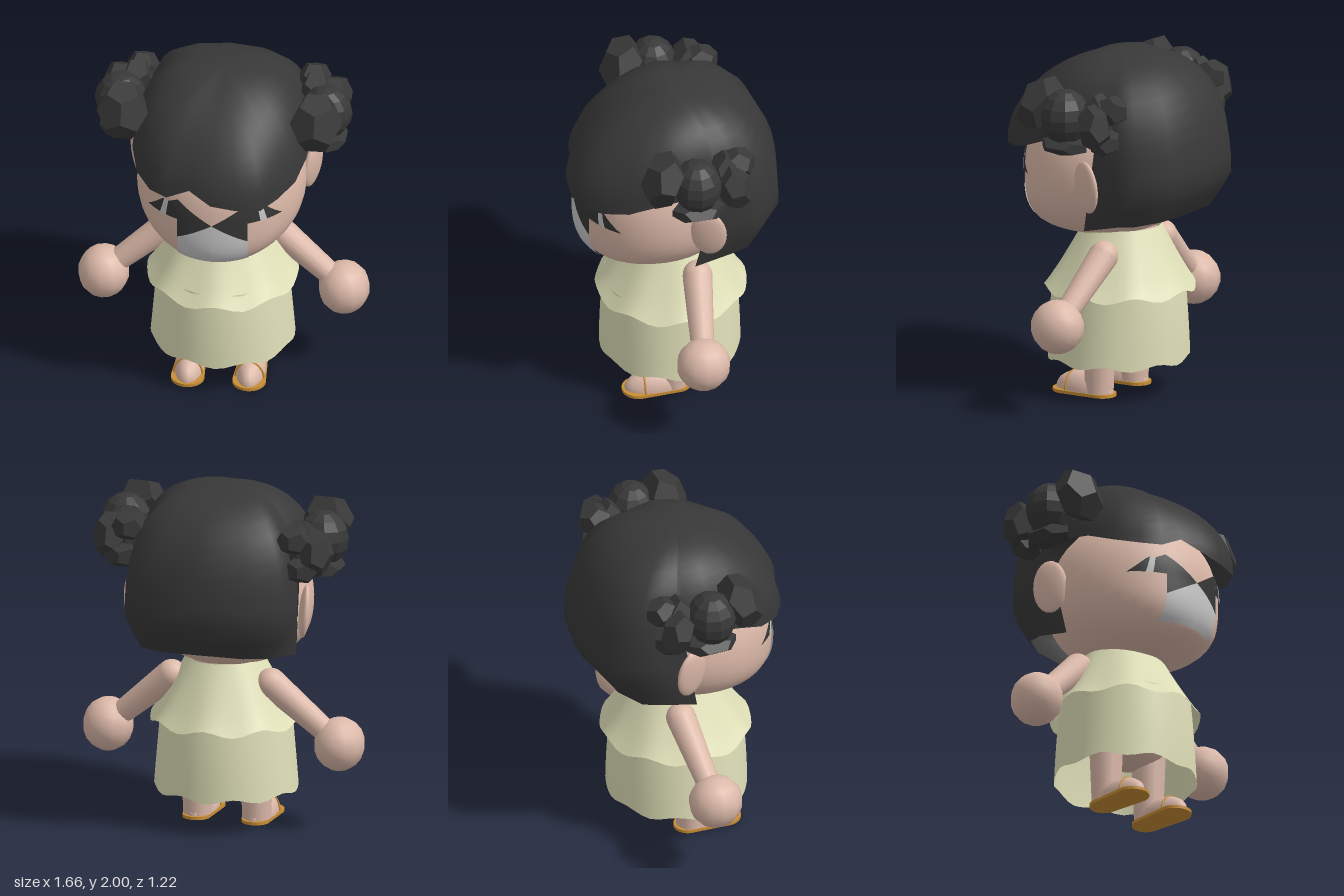
import * as THREE from 'three';

const mat = (name, color, extra = {}) => {
  const m = new THREE.MeshStandardMaterial({ color, ...extra });
  m.name = name;
  return m;
};

// Surface closed around the y axis; rows run from bottom (v = 0) to top (v = 1).
function ringSurface(cols, rows, point) {
  const pos = [], index = [];
  for (let j = 0; j <= rows; j++)
    for (let i = 0; i < cols; i++) pos.push(...point(i, j / rows));
  for (let j = 0; j < rows; j++)
    for (let i = 0; i < cols; i++) {
      const a = j * cols + i, b = j * cols + (i + 1) % cols;
      index.push(a, b, b + cols, a, b + cols, a + cols);
    }
  const g = new THREE.BufferGeometry();
  g.setAttribute('position', new THREE.Float32BufferAttribute(pos, 3));
  g.setIndex(index);
  g.computeVertexNormals();
  return g;
}

// Head: rounded ellipsoid, jaw narrower across than deep, chin pushed forward.
const HEAD = { y: 1.3, z: 0.06, rx: 0.48, rz: 0.49 };
function headSection(y) {
  const low = y < HEAD.y;
  const t = Math.min(1, Math.abs(y - HEAD.y) / (low ? 0.38 : 0.5));
  const round = p => Math.pow(1 - Math.pow(t, p), 1 / p);
  return {
    rx: HEAD.rx * round(low ? 2.35 : 2),
    rz: HEAD.rz * round(low ? 2.8 : 2),
    z: HEAD.z + (low ? 0.1 * t * t : 0),
  };
}
function headZ(x, y) {
  const s = headSection(y), q = x / s.rx;
  return s.z + s.rz * Math.sqrt(Math.max(0, 1 - q * q));
}

// Thin four-cornered patch laid on the face.
function facePatch(c, s) {
  const n = 8, g = new THREE.PlaneGeometry(1, 1, n, n), p = g.attributes.position;
  for (let i = 0; i < p.count; i++) {
    const u = p.getX(i) + 0.5, v = p.getY(i) + 0.5;
    const mix = k => (c[0][k] * (1 - u) + c[1][k] * u) * (1 - v) + (c[3][k] * (1 - u) + c[2][k] * u) * v;
    const x = s * mix(0), y = mix(1);
    p.setXYZ(i, x, y, headZ(x, y) + 0.01);
  }
  g.computeVertexNormals();
  return g;
}

export function createModel() {
  const double = { side: THREE.DoubleSide };
  const skin = mat('skin', 0xdcb9a9);
  const cloth = mat('dress cloth', 0xdfdfb8, double);
  const hairMat = mat('hair', 0x383838, double);
  const bunMat = mat('bun hair', 0x383838, { flatShading: true });
  const eyeMat = mat('eye dark', 0x363636, double);
  const white = mat('pale grey', 0xc8c8c8, double);
  const leather = mat('sandal leather', 0xc98e34);

  const model = new THREE.Group();
  const add = (name, geo, material, x = 0, y = 0, z = 0) => {
    const m = new THREE.Mesh(geo, material);
    m.name = name;
    m.position.set(x, y, z);
    model.add(m);
    return m;
  };
  const ball = (name, material, c, r, w = 16, h = 12) => {
    const m = add(name, new THREE.SphereGeometry(1, w, h), material, ...c);
    m.scale.set(...r);
    return m;
  };

  // Head and neck
  add('head', ringSurface(36, 24, (i, v) => {
    const a = i / 36 * Math.PI * 2, k = Math.sin((v - 0.5) * Math.PI);
    const y = HEAD.y + k * (k < 0 ? 0.38 : 0.5), s = headSection(y);
    return [Math.sin(a) * s.rx, y, s.z + Math.cos(a) * s.rz];
  }), skin);
  add('neck', new THREE.CylinderGeometry(0.16, 0.2, 0.2, 16), skin, 0, 0.93, -0.02);

  // Hair cap: angle from the front, height of the lower edge, radius
  const locks = [
    [0, 1.45, 0.61], [13, 1.43, 0.625], [26, 1.42, 0.64], [38, 1.43, 0.59], [53, 1.47, 0.565], [70, 1.53, 0.53],
    [90, 1.56, 0.505], [108, 1.53, 0.515], [112, 1.02, 0.525], [122, 1.07, 0.57], [133, 1.08, 0.635], [152, 1.09, 0.635],
    [180, 1.1, 0.615], [208, 1.09, 0.635], [227, 1.08, 0.635], [238, 1.07, 0.57], [248, 1.02, 0.525], [252, 1.53, 0.515],
    [270, 1.56, 0.505], [290, 1.53, 0.53], [307, 1.47, 0.565], [322, 1.44, 0.59], [334, 1.44, 0.595], [347, 1.51, 0.575],
  ];
  add('hairCap', ringSurface(locks.length, 14, (i, v) => {
    const [deg, edge, radius] = locks[i];
    const a = deg * Math.PI / 180, front = Math.max(0, Math.cos(a)), back = Math.max(0, -Math.cos(a));
    const y = edge + (2 - edge) * Math.sin(v * Math.PI / 2);
    const y0 = 1.42 + 0.05 * front - 0.17 * back, p = 2.8 - 1.15 * front - 0.3 * back;
    const u = Math.min(1, Math.max(0, (y - y0) / (2 - y0)));
    let r = radius * Math.pow(Math.max(0, 1 - Math.pow(u, p)), 1 / p);
    // the back tucks in towards the nape
    if (y < 1.27) r *= 1 - 0.21 * back * (1.27 - y) / 0.17;
    // side locks sweep forward at the tip
    const sweep = (deg === 112 || deg === 248) ? Math.max(0, 1.2 - y) * 0.7 : 0;
    return [Math.sin(a) * r, y, Math.cos(a) * r + sweep];
  }), hairMat);

  // Dress: flared cape over an open skirt, both with wavy hems
  const N = 48;
  add('dressCape', ringSurface(N, 8, (i, v) => {
    const a = i / N * Math.PI * 2, hem = 0.615 + 0.018 * Math.cos(a * 8);
    const y = hem + (0.98 - hem) * v, r = 0.43 - 0.21 * Math.pow(v, 0.9);
    return [Math.sin(a) * r, y, Math.cos(a) * r - 0.02 * v];
  }), cloth);
  add('dressSkirt', ringSurface(N, 6, (i, v) => {
    const a = i / N * Math.PI * 2, hem = 0.21 - 0.014 * Math.cos(a * 8);
    const y = hem + (0.68 - hem) * v;
    return [Math.sin(a) * (0.41 - 0.04 * v), y, Math.cos(a) * (0.4 - 0.025 * v * v) + 0.005];
  }), cloth);
  ball('hips', skin, [0, 0.46, 0], [0.27, 0.15, 0.2]);

  // Chunky bun tufts: centre, radii and tilt about x
  const lumps = [
    [0.55, 1.765, 0.165, 0.145, 0.165, 0.115, -0.35],
    [0.49, 1.77, -0.28, 0.09, 0.085, 0.1, 0], [0.51, 1.72, -0.2, 0.1, 0.14, 0.08, 0],
    [0.61, 1.69, -0.24, 0.095, 0.13, 0.095, 0.2], [0.53, 1.59, -0.26, 0.1, 0.075, 0.085, 0],
    [0.6, 1.555, -0.03, 0.1, 0.05, 0.15, 0],
  ];
  const eyeParts = [
    [[0, 1.28], [0.2, 1.165], [0.2, 1.41], [0, 1.28]],
    [[0.2, 1.285], [0.27, 1.285], [0.255, 1.38], [0.2, 1.41]],
    [[0.305, 1.285], [0.38, 1.285], [0.3, 1.37], [0.28, 1.385]],
  ];

  // Sole outline: wide toe, narrower heel
  const sole = new THREE.Shape();
  sole.absarc(0, 0.225, 0.095, 0, Math.PI, false);
  sole.absarc(0, 0, 0.08, Math.PI, Math.PI * 2, false);
  sole.closePath();

  for (const s of [1, -1]) {
    const side = s > 0 ? 'left' : 'right';

    // Ears turned to the front, buns and painted face
    const ear = ball(side + 'Ear', skin, [s * 0.5, 1.3, -0.11], [0.032, 0.155, 0.104]);
    ear.rotation.set(0, -s * 0.35, -s * 0.1);
    ball(side + 'Bun', bunMat, [s * 0.585, 1.72, -0.025], [0.15, 0.16, 0.14], 10, 8);
    for (const [x, y, z, rx, ry, rz, tilt] of lumps) {
      const tuft = add(side + 'BunTuft', new THREE.DodecahedronGeometry(1.08), bunMat, s * x, y, z);
      tuft.scale.set(rx, ry, rz);
      tuft.rotation.x = tilt;
    }
    for (const c of eyeParts) add(side + 'Eye', facePatch(c, s), eyeMat);
    add(side + 'EyeGlint', facePatch([[0.27, 1.285], [0.305, 1.285], [0.28, 1.385], [0.255, 1.38]], s), white);
    add(side + 'Mouth', facePatch([[0, 1.01], [0.2, 1.01], [0.2, 1.165], [0, 1.28]], s), white);

    // Arm and hand
    const from = new THREE.Vector3(s * 0.295, 0.855, -0.09), to = new THREE.Vector3(s * 0.62, 0.575, -0.05);
    const dir = to.clone().sub(from);
    const arm = add(side + 'Arm', new THREE.CylinderGeometry(0.065, 0.085, dir.length(), 14), skin);
    arm.position.copy(from).addScaledVector(dir, 0.5);
    arm.quaternion.setFromUnitVectors(new THREE.Vector3(0, 1, 0), dir.normalize());
    ball(side + 'Shoulder', skin, from.toArray(), [0.085, 0.085, 0.085]);
    ball(side + 'Hand', skin, [s * 0.685, 0.515, -0.04], [0.147, 0.155, 0.155], 12, 9);

    // Leg, foot and sandal
    const x = s * 0.175;
    add(side + 'Leg', new THREE.CylinderGeometry(0.1, 0.082, 0.46, 16), skin, x, 0.25, 0.02);
    const foot = add(side + 'Foot',
      new THREE.SphereGeometry(1, 18, 8, 0, Math.PI * 2, 0, Math.PI / 2), skin, x, 0.018, 0.12);
    foot.scale.set(0.085, 0.112, 0.187);
    const soleGeo = new THREE.ExtrudeGeometry(sole, { depth: 0.018, bevelEnabled: false, curveSegments: 10 });
    soleGeo.rotateX(Math.PI / 2);
    add(side + 'SandalSole', soleGeo, leather, x, 0.018, 0);
    const strap = add(side + 'SandalStrap', new THREE.TorusGeometry(0.081, 0.006, 6, 18, Math.PI), leather, x, 0.015, 0.2);
    strap.scale.y = 1.27;
  }
  return model;
}
